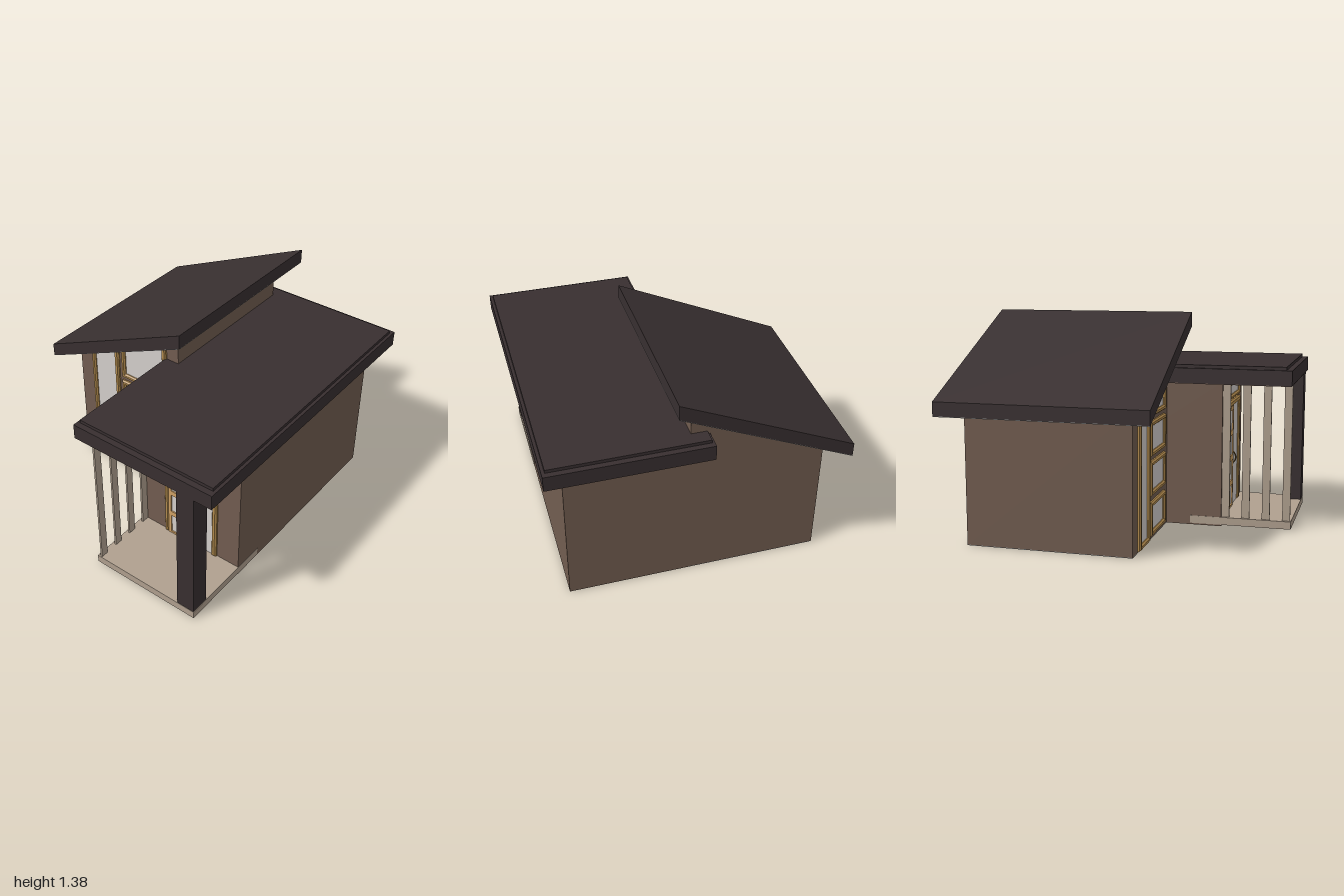
import * as THREE from 'three';

const mat = (name, color) => {
  const m = new THREE.MeshStandardMaterial({ color });
  m.name = name;
  return m;
};

export function createModel() {
  const house = new THREE.Group();
  house.name = 'house';

  const wall = mat('brown wall', 0x725d50);
  const roof = mat('dark roof', 0x382f30);
  const stone = mat('tan stone', 0xb0a08f);
  const grey = mat('grey soffit', 0x929292);
  const glass = mat('pale glass', 0xd4cfcc);
  const gold = mat('golden frame', 0xb48c4e);
  const oak = mat('light oak', 0xcfa165);
  const bronze = mat('bronze handle', 0x66502c);

  const add = (name, geo, material, parent = house) => {
    const mesh = new THREE.Mesh(geo, material);
    mesh.name = name;
    parent.add(mesh);
    return mesh;
  };
  // Box given by its limits on each axis
  const box = (name, material, [x0, x1], [y0, y1], [z0, z1], parent) => {
    const geo = new THREE.BoxGeometry(x1 - x0, y1 - y0, z1 - z0);
    geo.translate((x0 + x1) / 2, (y0 + y1) / 2, (z0 + z1) / 2);
    return add(name, geo, material, parent);
  };
  // Underside line of the sloping roof
  const under = (x) => 0.8 + 0.4554 * (x + 0.91);
  // Four-sided outline, top given as a height or a rule of x
  const quad = (x0, x1, y0, top, Type = THREE.Shape) => {
    const t = typeof top === 'function' ? top : () => top;
    return new Type([[x0, y0], [x1, y0], [x1, t(x1)], [x0, t(x0)]].map((p) => new THREE.Vector2(...p)));
  };
  const prism = (name, shape, z0, z1, material, parent) => {
    const geo = new THREE.ExtrudeGeometry(shape, { depth: z1 - z0, bevelEnabled: false });
    geo.translate(0, 0, z0);
    return add(name, geo, material, parent);
  };
  // Glazed opening with a bevelled frame standing proud of a wall at depth z
  const glazing = (name, x0, x1, y0, top, z, w = 0.032) => {
    const group = new THREE.Group();
    group.name = name;
    house.add(group);
    const sloped = top === 'roof';
    const outerTop = sloped ? (x) => under(x) + 0.04 : top;
    const innerTop = sloped ? (x) => under(x) + 0.01 : top - w;
    const shape = quad(x0, x1, y0, outerTop);
    shape.holes.push(quad(x0 + w, x1 - w, y0 + w, innerTop, THREE.Path));
    const geo = new THREE.ExtrudeGeometry(shape, {
      depth: 0.01, bevelThickness: 0.01, bevelSize: 0.009, bevelOffset: -0.009, bevelSegments: 1,
    });
    geo.translate(0, 0, z);
    add(name + 'Frame', geo, gold, group);
    prism(name + 'Glass', quad(x0 + 0.01, x1 - 0.01, y0 + 0.01, sloped ? (x) => under(x) + 0.01 : top - 0.01),
      z, z + 0.004, glass, group);
  };

  // Tall wing with sloping top and grey floor
  prism('tallWingWalls', quad(-0.79, 0.04, 0.004, (x) => under(x) + 0.01), -0.855, 0.185, wall);
  box('tallWingFloor', grey, [-0.79, 0.04], [0, 0.004], [-0.855, 0.185]);

  // Sloping roof slab with grey soffit
  const slab = new THREE.Shape();
  slab.moveTo(-0.91, under(-0.91) + 0.004);
  slab.lineTo(0.155, under(0.155) + 0.004);
  slab.lineTo(0.155, 1.38);
  slab.lineTo(-0.91, 0.89);
  prism('slopingRoof', slab, -1, 0.32, roof);
  const soffit = new THREE.Shape();
  soffit.moveTo(-0.91, under(-0.91));
  soffit.lineTo(0.155, under(0.155));
  soffit.lineTo(0.155, under(0.155) + 0.004);
  soffit.lineTo(-0.91, under(-0.91) + 0.004);
  prism('slopingRoofSoffit', soffit, -1, 0.32, grey);

  // Windows of the tall wing
  glazing('tallWindow', -0.68, -0.445, 0.008, 'roof', 0.185);
  [[0.027, 0.242], [0.28, 0.497], [0.527, 0.745]].forEach(([y0, y1], i) =>
    glazing('sideWindow' + (i + 1), -0.42, -0.05, y0, y1, 0.185));
  glazing('upperWindow', -0.42, -0.05, 0.772, 'roof', 0.185);

  // Low wing with flat roof
  box('lowWingWalls', wall, [0.04, 0.785], [0, 0.945], [-0.855, 0.55]);
  box('flatRoof', roof, [-0.075, 0.905], [0.945, 1.04], [-0.975, 1]);
  box('flatRoofTop', roof, [-0.058, 0.886], [1.04, 1.06], [-0.94, 0.963]);
  box('flatRoofSoffit', wall, [-0.073, 0.903], [0.941, 0.945], [-0.973, 0.998]);

  // Porch: deck, post and upright slats
  box('porchDeck', stone, [0.038, 0.788], [0.01, 0.06], [0.345, 1]);
  box('porchPost', roof, [0.665, 0.785], [0.06, 0.945], [0.877, 0.998]);
  for (let i = 0; i < 4; i++) {
    const z = 0.575 + i * 0.131;
    box('porchSlat', stone, [0.055, 0.068], [0.06, 0.945], [z - 0.025, z + 0.025]);
  }

  // Transom over the door
  glazing('transom', 0.225, 0.622, 0.8, 0.915, 0.55, 0.028);

  // Door surround: jambs and lintel in one outline
  const surround = new THREE.Shape([
    [0.225, 0.06], [0.258, 0.06], [0.258, 0.75], [0.59, 0.75],
    [0.59, 0.06], [0.625, 0.06], [0.625, 0.79], [0.225, 0.79],
  ].map((p) => new THREE.Vector2(...p)));
  const surroundGeo = new THREE.ExtrudeGeometry(surround, {
    depth: 0.01, bevelThickness: 0.01, bevelSize: 0.009, bevelOffset: -0.009, bevelSegments: 1,
  });
  surroundGeo.translate(0, 0, 0.55);
  add('doorSurround', surroundGeo, gold);

  // Door leaf, side light with four panes, and handle
  const door = new THREE.Group();
  door.name = 'door';
  house.add(door);
  box('doorLeaf', glass, [0.24, 0.6], [0.06, 0.765], [0.55, 0.556], door);
  const grid = quad(0.25, 0.395, 0.06, 0.75);
  for (let i = 0; i < 4; i++) {
    const y = 0.073 + i * 0.171;
    grid.holes.push(quad(0.275, 0.378, y, y + 0.136, THREE.Path));
  }
  prism('doorGrid', grid, 0.553, 0.564, oak, door);
  const bow = new THREE.CatmullRomCurve3([
    [0.414, 0.345, 0.555], [0.414, 0.365, 0.572], [0.414, 0.388, 0.577],
    [0.414, 0.41, 0.572], [0.414, 0.43, 0.555],
  ].map((p) => new THREE.Vector3(...p)));
  add('doorHandle', new THREE.TubeGeometry(bow, 12, 0.005, 6), bronze, door);
  for (const y of [0.35, 0.425]) {
    box('handlePlate', bronze, [0.406, 0.422], [y - 0.008, y + 0.008], [0.554, 0.56], door);
  }

  return house;
}
